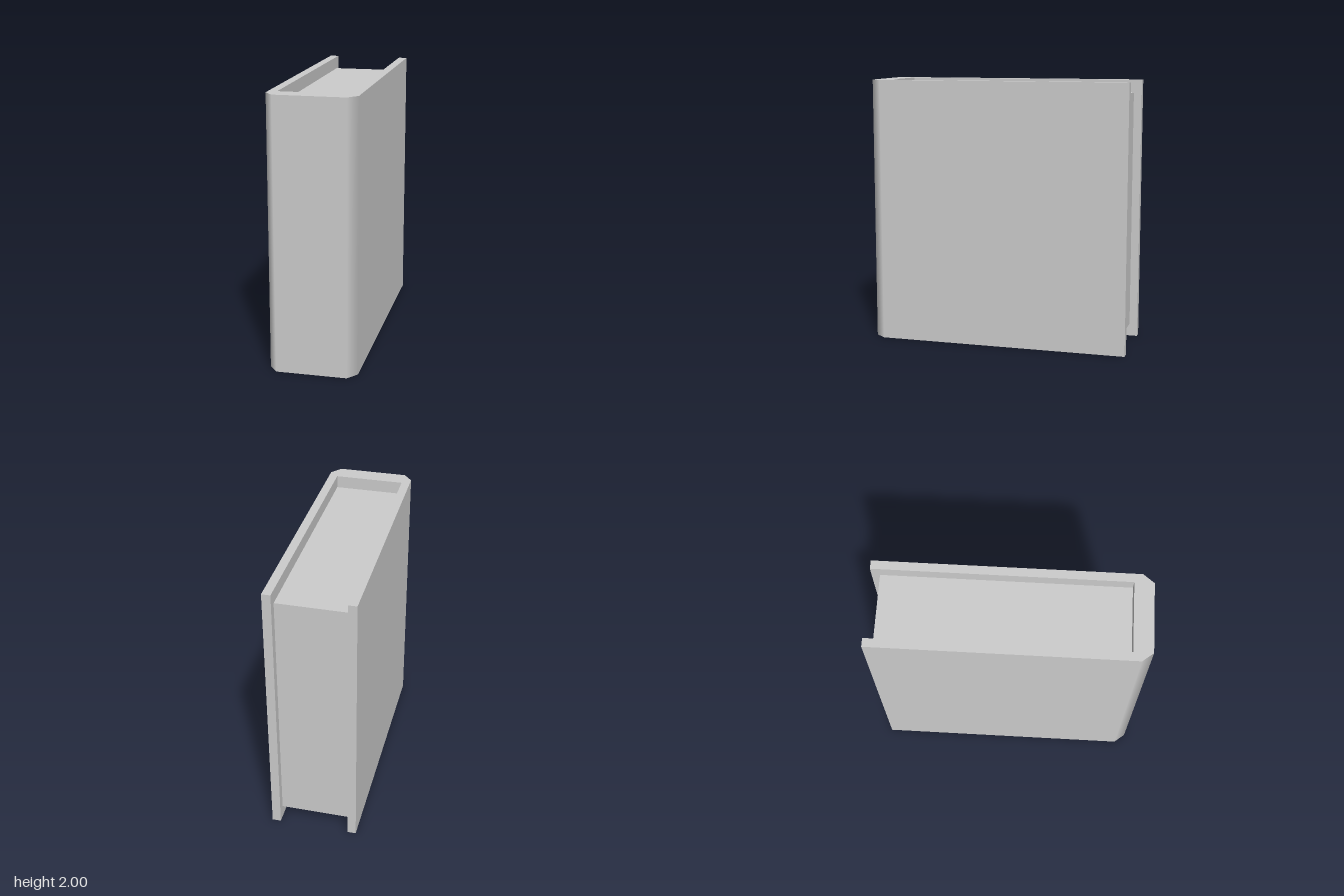
import * as THREE from 'three';

const HEIGHT = 2;
const HALF_WIDTH = 0.322; // outside of the covers
const INNER = 0.258;      // inside of the covers
const FRONT = 0.988;      // face of the spine
const BEVEL = 0.907;      // where the spine's bevels meet the covers
const SPINE_IN = 0.847;   // inside of the spine
const PAGE_BACK = -0.928;
const INSET = 0.095;      // pages stop short of the cover at top and bottom

export function createModel() {
  const group = new THREE.Group();
  group.name = 'book';
  const material = new THREE.MeshStandardMaterial({ color: 0xcccccc });

  // Cover: two boards and a bevelled spine as one U-shaped section, extruded upward
  const half = [[INNER, SPINE_IN], [INNER, -FRONT], [HALF_WIDTH, -FRONT], [HALF_WIDTH, BEVEL], [INNER, FRONT]];
  const outline = [...half, ...half.map(([x, z]) => [-x, z]).reverse()];
  const shape = new THREE.Shape(outline.map(([x, z]) => new THREE.Vector2(x, -z)));
  const coverGeometry = new THREE.ExtrudeGeometry(shape, { depth: HEIGHT, bevelEnabled: false });
  coverGeometry.rotateX(-Math.PI / 2);

  // Blend the bevel normals from the spine into the boards
  const position = coverGeometry.attributes.position;
  const normal = coverGeometry.attributes.normal;
  for (let i = 0; i < position.count; i++) {
    const nx = normal.getX(i), nz = normal.getZ(i);
    if (Math.abs(nx) < 0.1 || nz < 0.1) continue;
    if (position.getZ(i) > (FRONT + BEVEL) / 2) normal.setXYZ(i, 0, 0, 1);
    else normal.setXYZ(i, Math.sign(nx), 0, 0);
  }
  const cover = new THREE.Mesh(coverGeometry, material);
  cover.name = 'cover';

  // Page block, recessed between the boards
  const pages = new THREE.Mesh(
    new THREE.BoxGeometry(2 * INNER, HEIGHT - 2 * INSET, SPINE_IN - PAGE_BACK), material);
  pages.position.set(0, HEIGHT / 2, (SPINE_IN + PAGE_BACK) / 2);
  pages.name = 'pages';

  group.add(cover, pages);
  return group;
}
